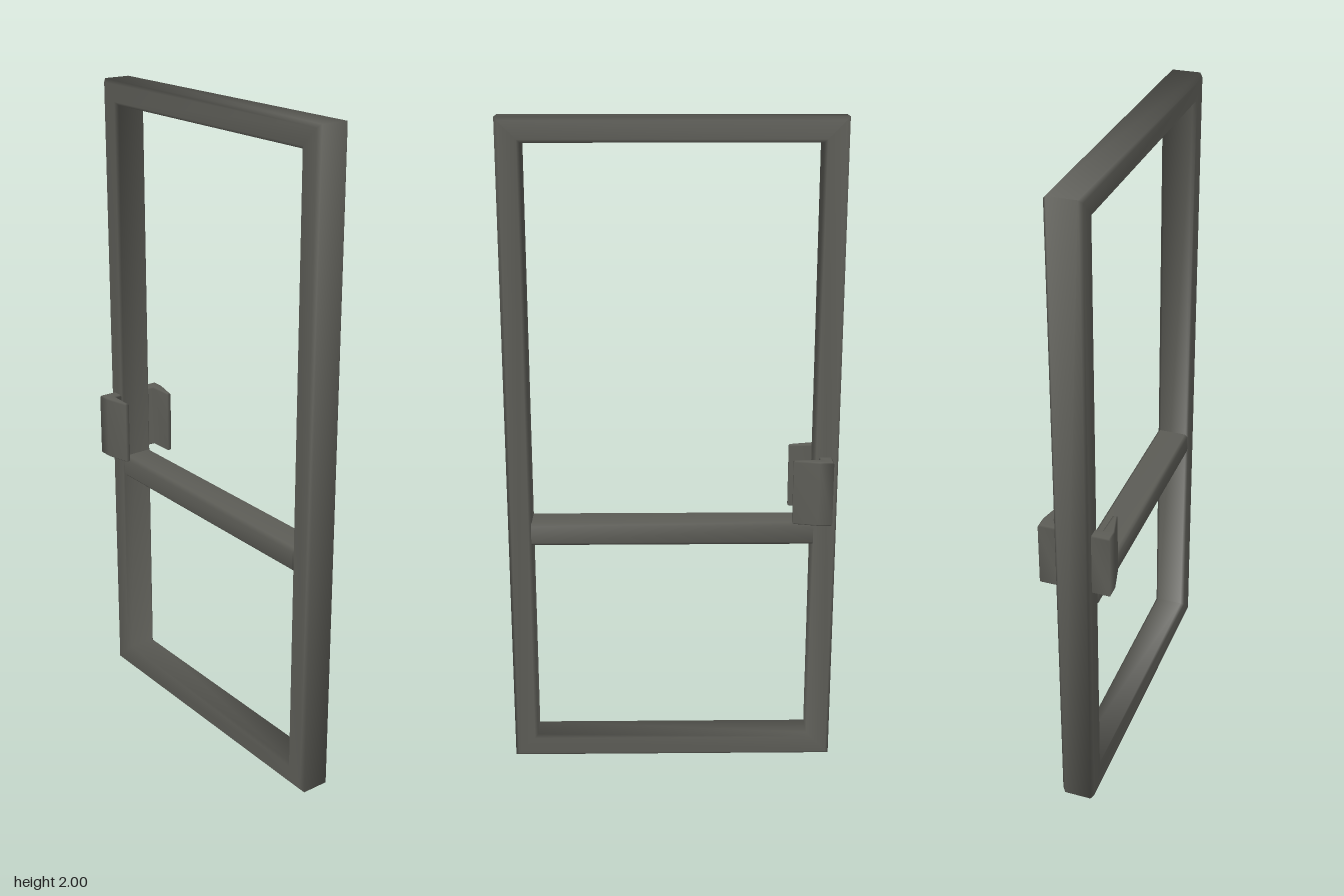
import * as THREE from 'three';
import { mergeVertices } from 'three/addons/utils/BufferGeometryUtils.js';

const DEPTH = 0.104;  // thickness of the door frame
const BEVEL = 0.01;

// Weld shared corners so the shading rolls softly over the bevels
function soften(geometry) {
  geometry.deleteAttribute('uv');
  geometry.deleteAttribute('normal');
  const welded = mergeVertices(geometry, 1e-4);
  welded.computeVertexNormals();
  return welded;
}

// Extrude a shape to a total depth, bevelled inside its own outline
function bevelled(shape, depth, bevel) {
  const geometry = new THREE.ExtrudeGeometry(shape, {
    depth: depth - 2 * bevel, bevelEnabled: true, bevelSegments: 1,
    bevelSize: bevel, bevelThickness: bevel, bevelOffset: -bevel,
  });
  return geometry.translate(0, 0, bevel);
}

const outline = (points) => points.map(([x, y]) => new THREE.Vector2(x, y));
const rectangle = (x, y0, y1) => outline([[-x, y0], [x, y0], [x, y1], [-x, y1]]);

export function createModel() {
  const group = new THREE.Group();
  const metal = new THREE.MeshStandardMaterial({ color: 0x5c5c56 });
  metal.name = 'dark grey metal';

  const add = (name, geometry) => {
    const mesh = new THREE.Mesh(soften(geometry), metal);
    mesh.name = name;
    group.add(mesh);
  };

  // Outer frame with one tall opening
  const frame = new THREE.Shape(rectangle(0.5, 0, 2));
  frame.holes.push(new THREE.Path(rectangle(0.428, 0.072, 1.928).reverse()));
  add('doorFrame', bevelled(frame, DEPTH, BEVEL).translate(0, 0, -DEPTH / 2));

  // Cross rail: a chamfered section run between the stiles
  const h = 0.036, d = DEPTH / 2, c = BEVEL, length = 0.86;
  const section = new THREE.Shape(outline([
    [-d + c, -h], [d - c, -h], [d, -h + c], [d, h - c],
    [d - c, h], [-d + c, h], [-d, h - c], [-d, -h + c],
  ]));
  const rail = new THREE.ExtrudeGeometry(section, { depth: length, bevelEnabled: false });
  add('crossRail', rail.translate(0, 0, -length / 2).rotateY(Math.PI / 2).translate(0, 0.755, 0));

  // Hooked pull handle on each face
  for (const [name, side] of [['frontHandle', 1], ['backHandle', -1]]) {
    const hook = new THREE.Shape(outline([
      [-0.48, 0.04], [-0.44, 0.04], [-0.44, 0.073], [-0.362, 0.075],
      [-0.362, 0.088], [-0.438, 0.107], [-0.48, 0.107],
    ].map(([x, z]) => [x, z * side])));
    add(name, bevelled(hook, 0.2, 0.004).rotateX(Math.PI / 2).translate(0, 1, 0));
  }

  return group;
}
